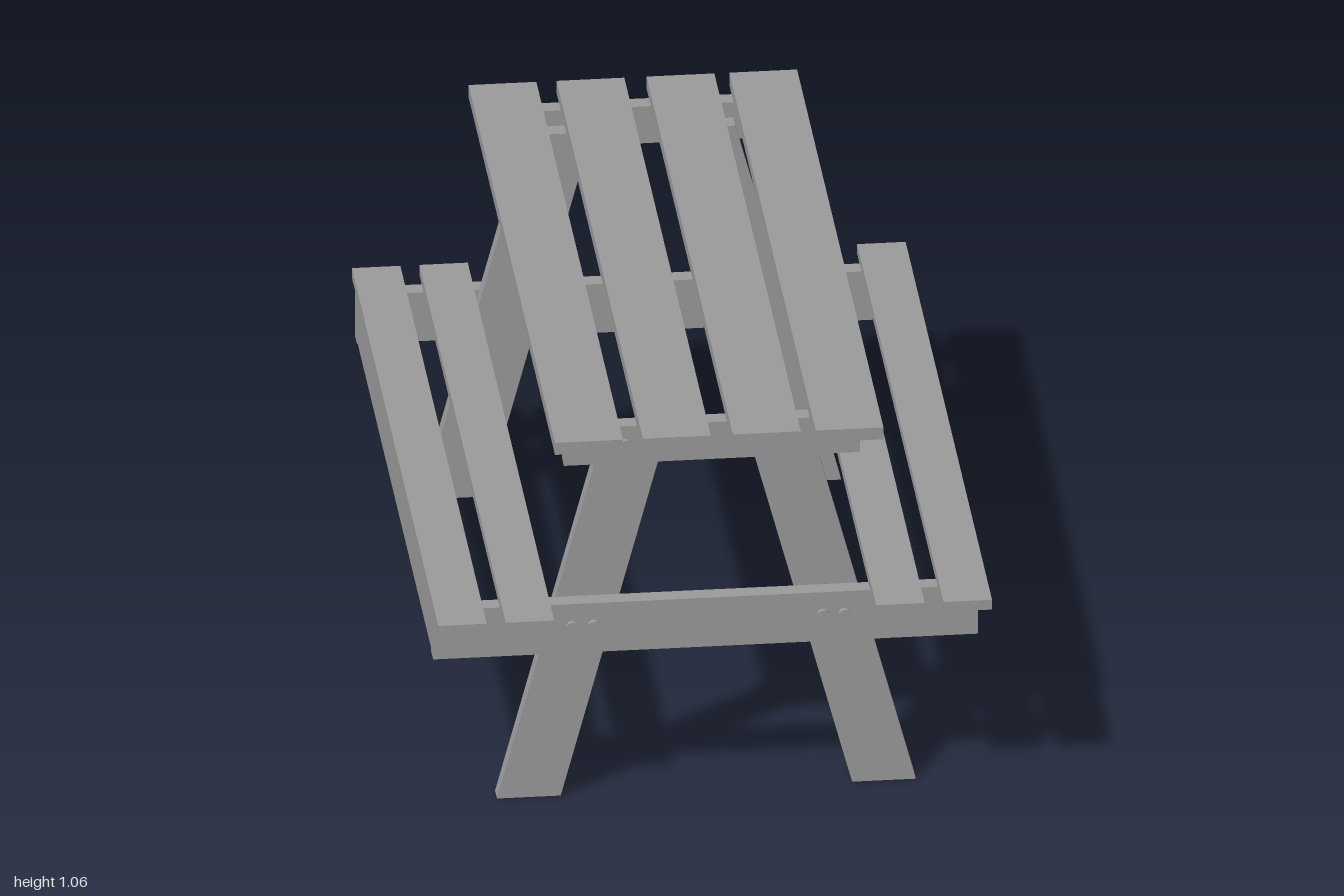
import * as THREE from 'three';

const material = new THREE.MeshStandardMaterial({ color: 0x9a9a9a });

export function createModel() {
  const table = new THREE.Group();
  table.name = 'picnicTable';

  const add = (name, geometry) => {
    const mesh = new THREE.Mesh(geometry, material);
    mesh.name = name;
    table.add(mesh);
    return mesh;
  };

  // Box given by its limits on each axis
  const board = (name, x0, x1, y0, y1, z0, z1) =>
    add(name, new THREE.BoxGeometry(x1 - x0, y1 - y0, z1 - z0))
      .position.set((x0 + x1) / 2, (y0 + y1) / 2, (z0 + z1) / 2);

  // Table top planks
  for (const x of [-0.313, -0.095, 0.128, 0.333])
    board('tablePlank', x - 0.084, x + 0.084, 1.029, 1.062, -1, 1);

  // Bench planks and the long rails beneath them, level with the crossbar ends
  for (const side of [-1, 1]) {
    for (const x of [0.459, 0.626])
      board('seatPlank', side * x - 0.06, side * x + 0.06, 0.547, 0.574, -1, 1);
    const railX = side * 0.653 - 0.009;
    board('seatRail', railX - 0.02, railX + 0.02, 0.413, 0.547, -0.9, 0.815);
  }

  // Slanted leg: a parallelogram with level ends, extruded in z
  const legTop = 0.987, halfLeg = 0.079, slope = 0.266;
  const legCentre = (side, y) => side * (0.44 - slope * y) - 0.004;
  const legGeometry = (side) => {
    const a = legCentre(side, 0), b = legCentre(side, legTop);
    const shape = new THREE.Shape([
      new THREE.Vector2(a - halfLeg, 0), new THREE.Vector2(a + halfLeg, 0),
      new THREE.Vector2(b + halfLeg, legTop), new THREE.Vector2(b - halfLeg, legTop),
    ]);
    return new THREE.ExtrudeGeometry(shape, { depth: 0.045, bevelEnabled: false });
  };

  // Flat round bolt head, its axis along z
  const boltGeometry = new THREE.CylinderGeometry(0.015, 0.015, 0.012, 12).rotateX(Math.PI / 2);

  // End frames: legs inside, crossbars outside, bolts on the outer face
  const frames = [
    { out: 1, inner: 0.815, shift: 0.002 },
    { out: -1, inner: -0.902, shift: -0.004 },
  ];
  for (const { out, inner, shift } of frames) {
    const outer = inner + out * 0.045;
    const z0 = Math.min(inner, outer), z1 = Math.max(inner, outer);
    board('topCrossbar', -0.358 - shift, 0.376 - shift, 0.928, 1.029, z0, z1);
    board('seatCrossbar', -0.684, 0.668 - shift, 0.413, 0.547, z0, z1);

    for (const side of [-1, 1]) {
      const leg = add('leg', legGeometry(side));
      leg.position.set(shift, 0, out > 0 ? inner - 0.045 : inner);

      for (const y of [0.487, 0.98])
        for (const dx of [-0.027, 0.027])
          add('bolt', boltGeometry)
            .position.set(legCentre(side, y) + shift + dx, y, outer + out * 0.006);
    }
  }

  return table;
}
